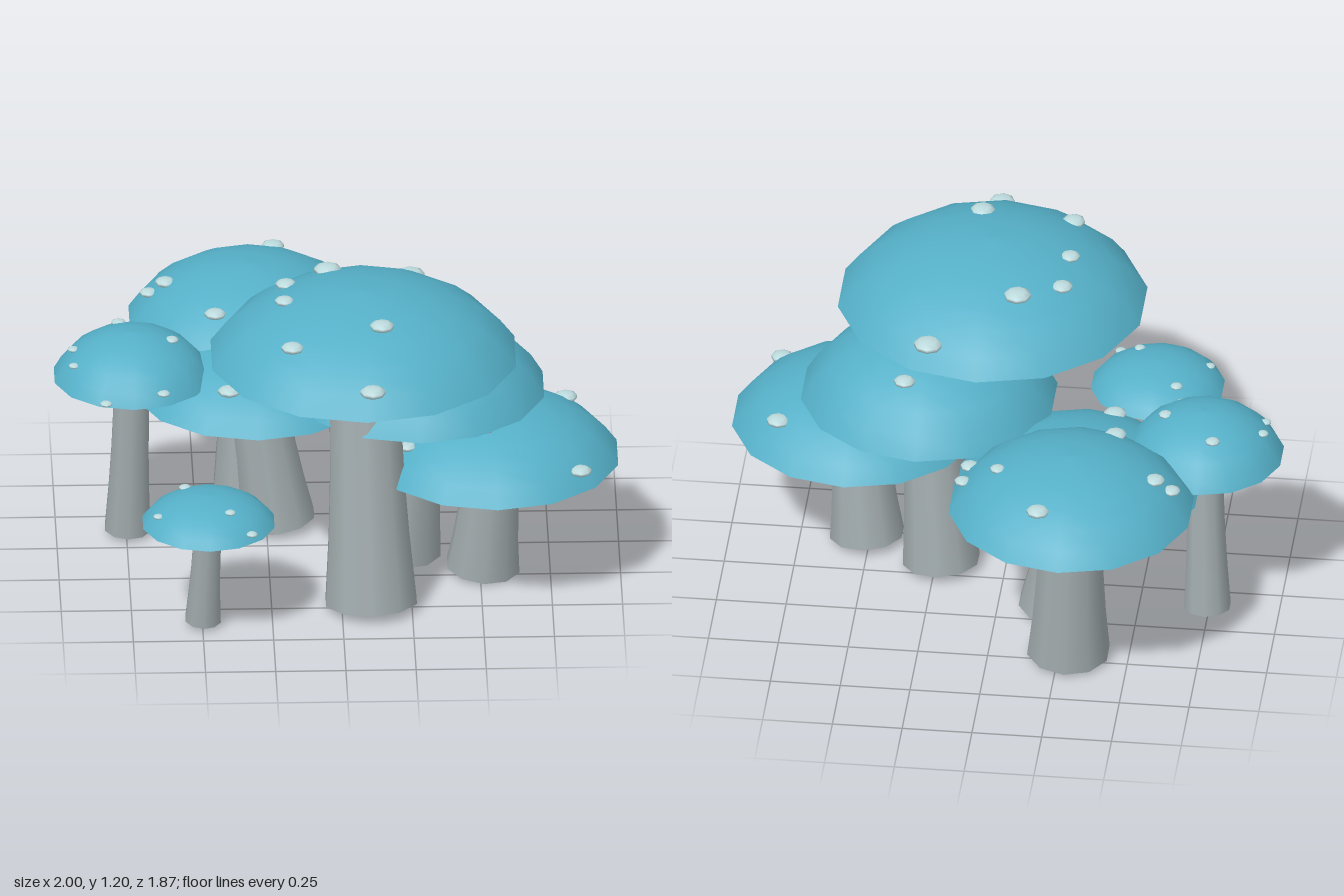
import * as THREE from 'three';

const material = (name, color) => {
  const m = new THREE.MeshStandardMaterial({ color });
  m.name = name;
  return m;
};

const SIDES = 14;
const ARC = THREE.MathUtils.degToRad(70); // how much of a sphere each cap covers
const FOOT_Y = 0.025;
const NECK_RATIO = 0.77; // stem radius at the cap relative to the foot

// Height of the unit cap (0..1) at a unit radius (0..1)
const domeHeight = (r) => {
  const s = Math.min(1, r) * Math.sin(ARC);
  return (Math.sqrt(1 - s * s) - Math.cos(ARC)) / (1 - Math.cos(ARC));
};

// cap: [x, z, radius, base y, top y]; foot: [x, z, radius]; spots: [x, z], largest first
const mushrooms = [
  { name: 'tallMushroom', cap: [0.08, 0.375, 0.555, 0.955, 1.205], foot: [0.105, 0.485, 0.17],
    spots: [[0.26, -0.08], [-0.04, 0.1], [0.1, 0.86], [0.14, 0.6], [-0.18, 0.65], [-0.19, 0.19], [-0.2, 0.36]] },
  { name: 'backMushroom', cap: [-0.3, -0.5, 0.44, 0.67, 0.88], foot: [-0.285, -0.46, 0.15],
    spots: [[-0.21, -0.77], [-0.43, -0.24], [-0.6, -0.51], [0.075, -0.39], [-0.66, -0.51], [0.09, -0.49], [-0.04, -0.53]] },
  { name: 'leftMushroom', cap: [0.28, 0.13, 0.46, 0.7, 0.96], foot: [0.23, 0.07, 0.14],
    spots: [[0.49, 0.34], [0.53, 0.31], [0.34, -0.12]] },
  { name: 'farLeftMushroom', cap: [0.55, 0.25, 0.45, 0.485, 0.695], foot: [0.512, 0.21, 0.135],
    spots: [[0.81, 0.03], [0.85, 0.52], [0.51, 0.42], [0.235, 0.4]] },
  { name: 'farRightMushroom', cap: [-0.73, -0.08, 0.285, 0.655, 0.825], foot: [-0.745, -0.12, 0.085],
    spots: [[-0.775, -0.22], [-0.59, -0.07], [-0.625, 0.16], [-0.83, 0.18], [-0.94, -0.09], [-0.94, 0.01]] },
  { name: 'smallMushroom', cap: [-0.48, 0.66, 0.24, 0.435, 0.54], foot: [-0.498, 0.615, 0.066],
    spots: [[-0.56, 0.54], [-0.33, 0.82], [-0.405, 0.76], [-0.66, 0.72]] },
  { name: 'middleMushroom', cap: [-0.29, -0.19, 0.44, 0.55, 0.745], foot: [-0.21, -0.18, 0.138],
    spots: [[-0.39, 0.1], [0.02, -0.12]] },
];

// Leaning stem, slightly drawn in at the waist, with its ends square to the lean
function stemGeometry(foot, head, footRadius) {
  const axis = head.clone().sub(foot);
  const length = axis.length();
  const geo = new THREE.CylinderGeometry(footRadius * NECK_RATIO, footRadius, length, 10, 4);
  const p = geo.attributes.position;
  for (let i = 0; i < p.count; i++) {
    const t = p.getY(i) / length + 0.5;
    const waist = 1 - 0.08 * Math.sin(Math.PI * t);
    p.setX(i, p.getX(i) * waist);
    p.setZ(i, p.getZ(i) * waist);
  }
  geo.applyQuaternion(new THREE.Quaternion().setFromUnitVectors(new THREE.Vector3(0, 1, 0), axis.normalize()));
  const mid = foot.clone().add(head).multiplyScalar(0.5);
  return geo.translate(mid.x, mid.y, mid.z);
}

export function createModel() {
  const capTeal = material('cap teal', 0x55b0c8);
  const stemGrey = material('stem grey', 0xa2acae);
  const spotPale = material('spot pale', 0xbcdadd);

  const model = new THREE.Group();
  model.name = 'mushroomCluster';

  for (const { name, cap: [x, z, radius, base, top], foot: [footX, footZ, footRadius], spots } of mushrooms) {
    const group = new THREE.Group();
    group.name = name;
    model.add(group);
    const add = (part, geometry, mat) => {
      const mesh = new THREE.Mesh(geometry, mat);
      mesh.name = part;
      group.add(mesh);
      return mesh;
    };
    const height = top - base;

    // Domed cap, from rim to crown
    const profile = [];
    for (let i = 6; i >= 0; i--) {
      const r = Math.sin((ARC * i) / 6) / Math.sin(ARC);
      profile.push(new THREE.Vector2(r * radius, domeHeight(r) * height));
    }
    add('cap', new THREE.LatheGeometry(profile, SIDES), capTeal).position.set(x, base, z);

    // Flat underside
    const under = new THREE.CircleGeometry(radius, SIDES, Math.PI / 2).rotateX(Math.PI / 2);
    add('underside', under, stemGrey).position.set(x, base, z);

    // Stem
    const footPoint = new THREE.Vector3(footX, FOOT_Y, footZ);
    const headPoint = new THREE.Vector3(x, base + 0.015, z);
    add('stem', stemGeometry(footPoint, headPoint, footRadius), stemGrey);

    // Flattened spots resting on the cap
    spots.forEach(([spotX, spotZ], i) => {
      const size = radius * (0.095 - 0.005 * i);
      const spot = add('spot', new THREE.SphereGeometry(size, 8, 5), spotPale);
      const r = Math.hypot(spotX - x, spotZ - z) / radius;
      spot.scale.y = 0.42;
      spot.position.set(spotX, base + domeHeight(r) * height, spotZ);
    });
  }
  return model;
}
